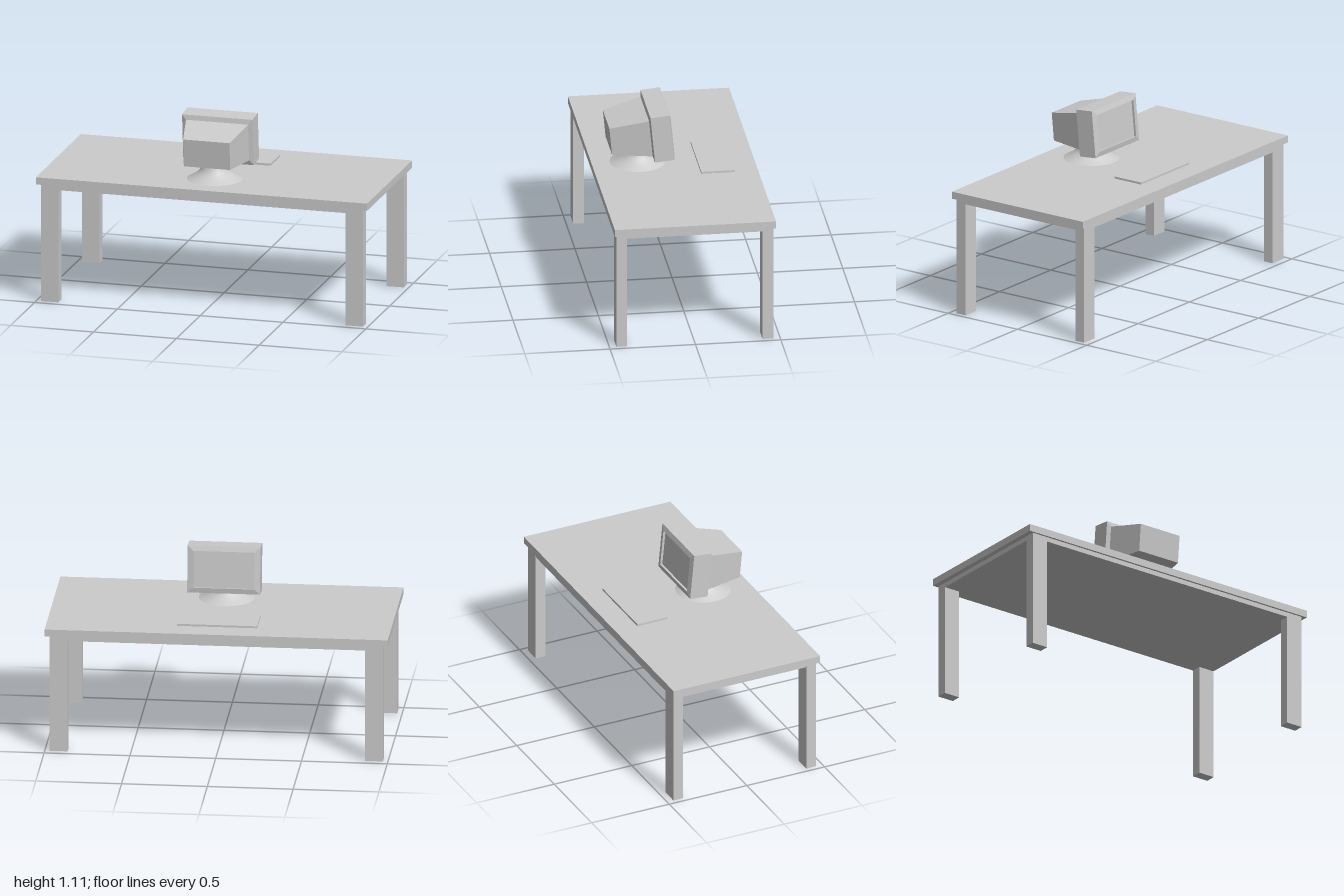
import * as THREE from 'three';

const flat = new THREE.MeshStandardMaterial({ color: 0xcccccc, flatShading: true });
const smooth = new THREE.MeshStandardMaterial({ color: 0xcccccc, side: THREE.DoubleSide });

function add(parent, name, geometry, material = flat) {
  const mesh = new THREE.Mesh(geometry, material);
  mesh.name = name;
  parent.add(mesh);
  return mesh;
}

// Box given by its centre in x and z, its bottom and its size
function box(parent, name, x, bottom, z, w, h, d) {
  add(parent, name, new THREE.BoxGeometry(w, h, d)).position.set(x, bottom + h / 2, z);
}

// Skin through rectangles [halfWidth, yMin, yMax, z], listed from front to rear
function loft(sections, capFront, capRear) {
  const rings = sections.map(([w, y0, y1, z]) => [[-w, y0, z], [w, y0, z], [w, y1, z], [-w, y1, z]]);
  const pos = [];
  const quad = (a, b, c, d) => [a, b, c, a, c, d].forEach((p) => pos.push(...p));
  for (let s = 0; s < rings.length - 1; s++) {
    for (let i = 0; i < 4; i++) {
      const j = (i + 1) % 4;
      quad(rings[s][i], rings[s][j], rings[s + 1][j], rings[s + 1][i]);
    }
  }
  if (capFront) quad(...[...rings[0]].reverse());
  if (capRear) quad(...rings[rings.length - 1]);
  const geometry = new THREE.BufferGeometry();
  geometry.setAttribute('position', new THREE.Float32BufferAttribute(pos, 3));
  geometry.computeVertexNormals();
  return geometry;
}

export function createModel() {
  const model = new THREE.Group();
  model.name = 'deskWithMonitor';

  // Table: top, slightly inset slab beneath it, four legs
  const table = new THREE.Group();
  table.name = 'table';
  model.add(table);
  box(table, 'tableTop', 0, 0.705, 0, 2, 0.043, 0.944);
  box(table, 'underframe', 0, 0.677, 0, 1.94, 0.028, 0.918);
  for (const sx of [-1, 1]) {
    for (const sz of [-1, 1]) {
      box(table, 'leg', sx * 0.919, 0, sz * 0.428, 0.104, 0.705, 0.063);
    }
  }

  // Keyboard lying flat
  box(model, 'keyboard', 0.008, 0.748, -0.235, 0.467, 0.012, 0.193);

  // Flared round stand
  const profile = new THREE.SplineCurve([
    [0.163, 0], [0.122, 0.023], [0.086, 0.055], [0.064, 0.106],
  ].map(([r, y]) => new THREE.Vector2(r, y))).getPoints(12);
  const stand = add(model, 'monitorStand', new THREE.LatheGeometry(profile, 40), smooth);
  stand.position.set(0.003, 0.748, 0.2025);

  // Monitor tilted back, screen towards -z
  const monitor = new THREE.Group();
  monitor.name = 'monitor';
  monitor.position.set(0.004, 0.969, 0.086);
  monitor.rotation.x = 0.095;
  model.add(monitor);
  // Screen sunk into the bezel
  add(monitor, 'screen', loft([[0.178, -0.11, 0.11, -0.05], [0.178, -0.11, 0.11, -0.045]], true, false));
  add(monitor, 'bezel', loft([
    [0.178, -0.11, 0.11, -0.05],
    [0.178, -0.11, 0.11, -0.064],
    [0.2125, -0.141, 0.141, -0.0565],
    [0.2125, -0.141, 0.141, 0.0565],
    [0.187, -0.111, 0.112, 0.064],
  ], false, false));
  // Tapered tube housing
  add(monitor, 'rearHousing', loft([
    [0.187, -0.111, 0.112, 0.064],
    [0.14, -0.0865, 0.0805, 0.294],
  ], false, true));

  return model;
}
